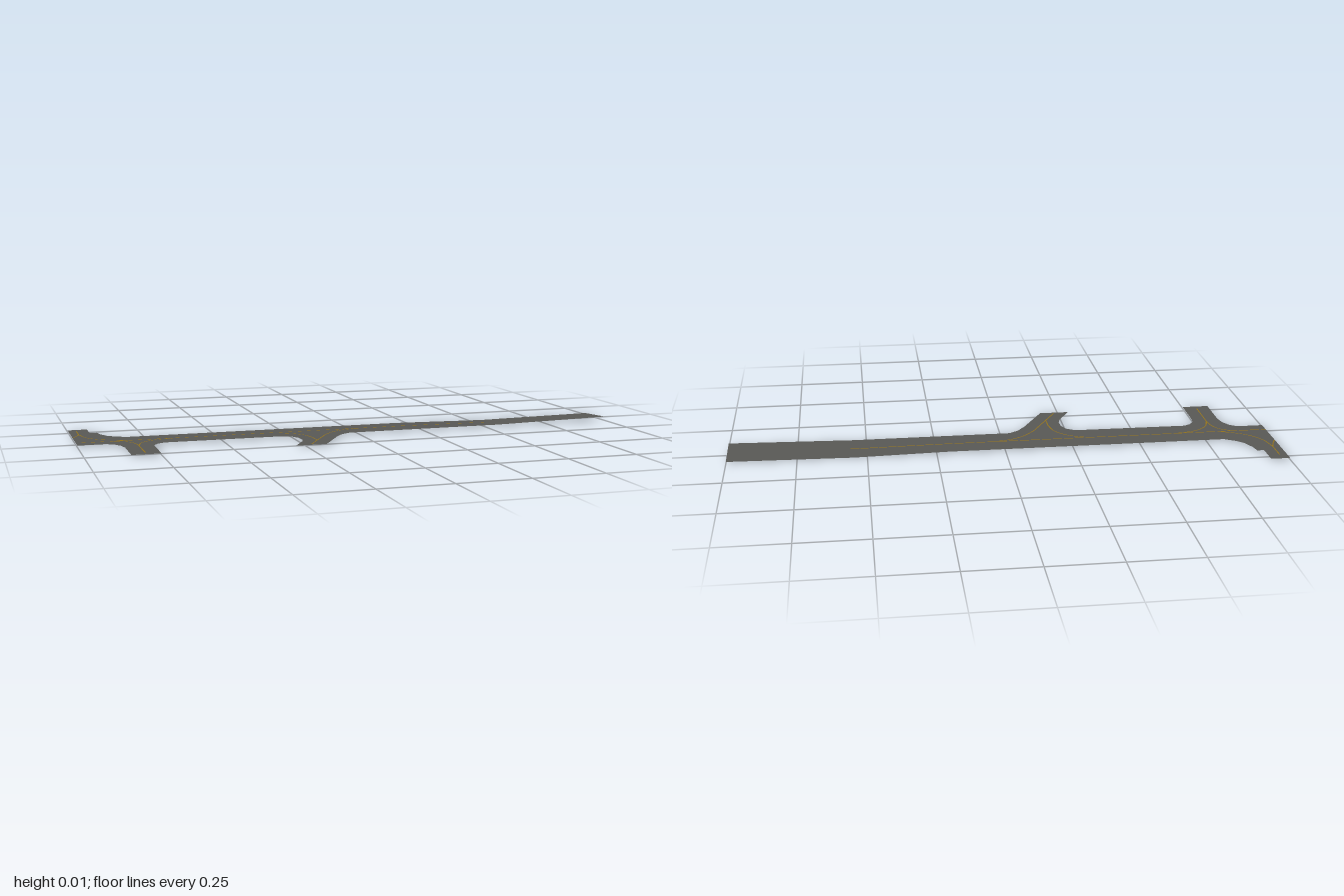
import * as THREE from 'three';

const EAST = 0.2; // the pavement is level up to here, then banks and climbs

// height of the pavement at a point
function groundY(x, z) {
  const side = THREE.MathUtils.clamp((z + 0.075) / 0.155, 0, 1);
  if (x <= EAST) return 0.006;
  if (x <= 0.55) return 0.006 - 0.006 * (1 - side) * (x - EAST) / 0.35;
  const t = (x - 0.55) / 0.45;
  return THREE.MathUtils.lerp(0.006 * t, 0.006 + 0.009 * t, side);
}

// flat ribbon following a curve, resting on the pavement
function ribbon(points, width, material, name, straight = false) {
  const pts = points.map(([x, z]) => new THREE.Vector3(x, 0, z));
  const curve = straight ? new THREE.LineCurve3(pts[0], pts[1]) : new THREE.CatmullRomCurve3(pts);
  const n = 24, pos = [], index = [];
  for (let i = 0; i <= n; i++) {
    const p = curve.getPoint(i / n), t = curve.getTangent(i / n);
    for (const s of [-1, 1]) {
      const x = p.x - t.z * s * width / 2, z = p.z + t.x * s * width / 2;
      pos.push(x, groundY(x, z) + 0.0008, z);
    }
    if (i < n) {
      const a = i * 2;
      index.push(a, a + 1, a + 2, a + 1, a + 3, a + 2);
    }
  }
  const g = new THREE.BufferGeometry();
  g.setAttribute('position', new THREE.Float32BufferAttribute(pos, 3));
  g.setIndex(index);
  g.computeVertexNormals();
  const mesh = new THREE.Mesh(g, material);
  mesh.name = name;
  return mesh;
}

export function createModel() {
  const group = new THREE.Group();
  group.name = 'taxiway';
  const asphalt = new THREE.MeshStandardMaterial({ color: 0x585855, side: THREE.DoubleSide });
  asphalt.name = 'asphalt';
  const yellow = new THREE.MeshStandardMaterial({ color: 0x94731a });
  yellow.name = 'marking yellow';

  // level pavement with its three branches, outlined as x, z
  const outline = [
    [-1, -0.283], [-0.93, -0.283], [-0.93, -0.2], [-0.905, -0.2], [-0.898, -0.165],
    [-0.88, -0.125], [-0.855, -0.1], [-0.815, -0.077], [EAST, -0.075], [EAST, 0.08],
    [-0.035, 0.08], [-0.07, 0.103], [-0.1, 0.142], [-0.18, 0.277], [-0.29, 0.277],
    [-0.245, 0.2], [-0.236, 0.17], [-0.238, 0.13], [-0.253, 0.1], [-0.285, 0.08],
    [-0.705, 0.076], [-0.73, 0.09], [-0.747, 0.115], [-0.75, 0.14], [-0.75, 0.277],
    [-0.85, 0.277], [-0.85, 0.135], [-0.858, 0.095], [-0.878, 0.062], [-0.905, 0.046], [-1, 0.046],
  ];
  const shape = new THREE.Shape(outline.map(([x, z]) => new THREE.Vector2(x, -z)));
  const level = new THREE.ShapeGeometry(shape).rotateX(-Math.PI / 2).translate(0, 0.006, 0);
  const west = new THREE.Mesh(level, asphalt);
  west.name = 'levelPavement';
  group.add(west);

  // banked straight
  const strip = new THREE.PlaneGeometry(1 - EAST, 0.155, 16, 2).rotateX(-Math.PI / 2)
    .translate((1 + EAST) / 2, 0, 0.0025);
  const p = strip.attributes.position;
  for (let i = 0; i < p.count; i++) p.setY(i, groundY(p.getX(i), p.getZ(i)));
  strip.computeVertexNormals();
  const east = new THREE.Mesh(strip, asphalt);
  east.name = 'bankedPavement';
  group.add(east);

  // painted guide lines
  const w = 0.004;
  const straights = [
    [[-1, 0], [EAST, 0]], [[EAST, 0], [0.56, 0]],
    [[-0.8, 0.255], [-0.8, 0.1]],
    [[-0.232, 0.268], [-0.13, 0.095]],
    [[-0.19, 0.195], [-0.19, 0.13]],
    [[-0.972, -0.25], [-0.972, -0.16]],
  ];
  const curves = [
    [[-0.972, -0.17], [-0.955, -0.1], [-0.91, -0.045], [-0.82, 0]],
    [[-0.972, -0.17], [-0.983, -0.14], [-0.998, -0.11]],
    [[-0.8, 0.11], [-0.782, 0.06], [-0.735, 0.02], [-0.65, 0]],
    [[-0.8, 0.11], [-0.808, 0.06], [-0.83, 0.025], [-0.87, 0]],
    [[-0.32, 0], [-0.25, 0.03], [-0.205, 0.08], [-0.19, 0.14]],
    [[-0.13, 0.095], [-0.09, 0.05], [-0.04, 0.018], [0.03, 0]],
  ];
  straights.forEach((s, i) => group.add(ribbon(s, w, yellow, `straightLine${i + 1}`, true)));
  curves.forEach((c, i) => group.add(ribbon(c, w, yellow, `curvedLine${i + 1}`)));
  return group;
}
